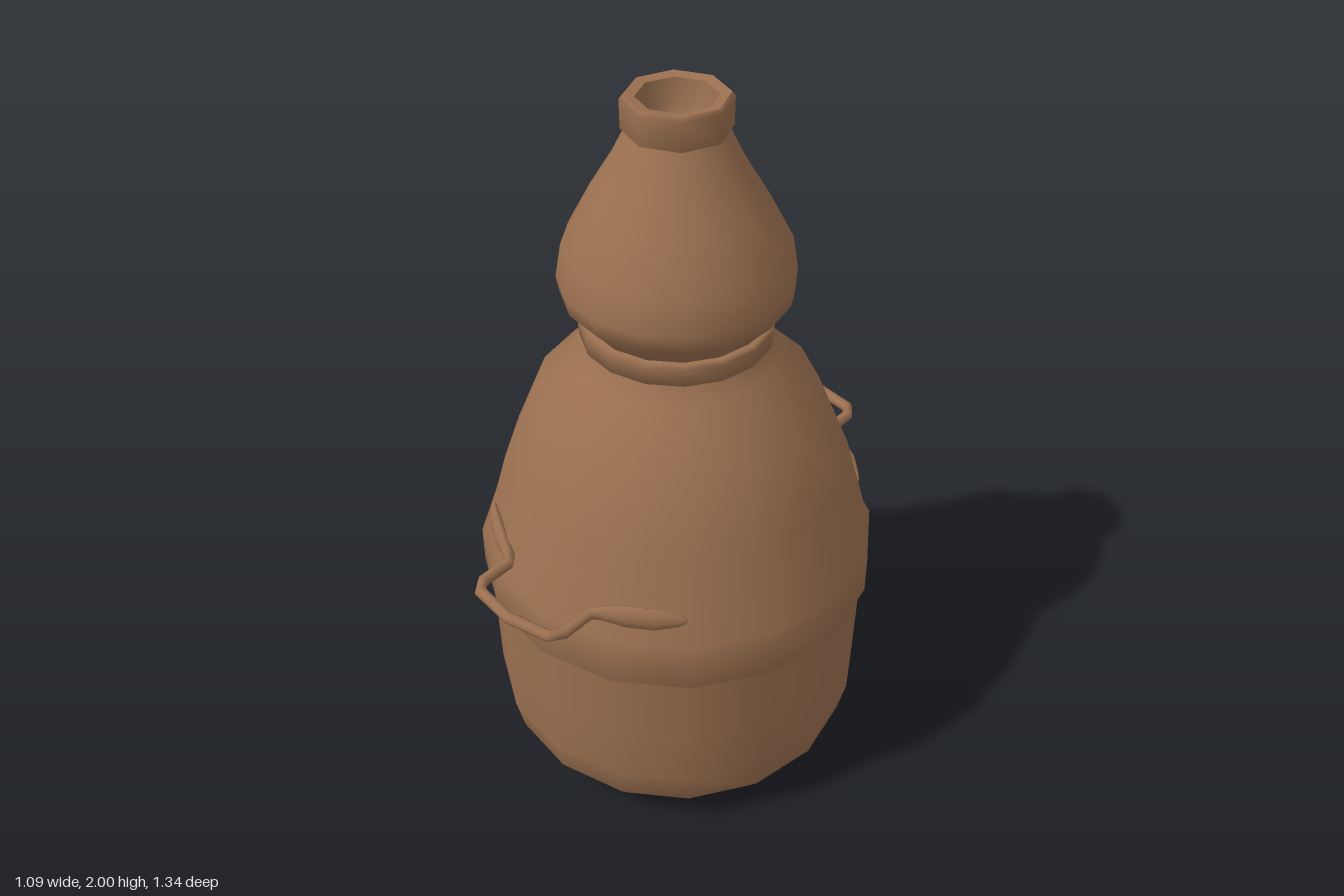
import * as THREE from 'three';

const clay = new THREE.MeshStandardMaterial({ color: 0x9b7050 });
clay.name = 'brown clay';

// Surface of revolution, profile listed as [radius, height]
function lathe(name, profile, sides) {
  const points = profile.map(([r, y]) => new THREE.Vector2(r, y));
  const mesh = new THREE.Mesh(new THREE.LatheGeometry(points, sides), clay);
  mesh.name = name;
  return mesh;
}

// Sweep of elliptical sections [x, z, half height, half width] along a level path
function sweep(sections, sides = 8) {
  const position = [], index = [];
  sections.forEach(([x, z, h, w], i) => {
    const a = sections[Math.max(i - 1, 0)];
    const b = sections[Math.min(i + 1, sections.length - 1)];
    const t = new THREE.Vector2(b[0] - a[0], b[1] - a[1]).normalize();
    for (let j = 0; j < sides; j++) {
      const angle = (j / sides) * Math.PI * 2;
      const c = Math.cos(angle) * w;
      position.push(x + t.y * c, Math.sin(angle) * h, z - t.x * c);
      if (i === sections.length - 1) continue;
      const k = i * sides + j, n = i * sides + ((j + 1) % sides);
      index.push(k, n, n + sides, k, n + sides, k + sides);
    }
  });
  const geometry = new THREE.BufferGeometry();
  geometry.setAttribute('position', new THREE.Float32BufferAttribute(position, 3));
  geometry.setIndex(index);
  geometry.computeVertexNormals();
  return geometry;
}

export function createModel() {
  const group = new THREE.Group();
  group.name = 'gourd pot';

  // Round-bottomed base
  group.add(lathe('base', [
    [0, 0], [0.33, 0], [0.45, 0.05], [0.497, 0.11], [0.52, 0.21], [0.525, 0.4], [0.53, 0.61],
  ], 16));

  // Belt and sloping shoulder
  group.add(lathe('shoulder', [
    [0.52, 0.6], [0.545, 0.6], [0.545, 0.705], [0.53, 0.725], [0.465, 0.96],
    [0.375, 1.18], [0.265, 1.29], [0.238, 1.35],
  ], 16));

  // Ring at the waist
  group.add(lathe('waistRing', [
    [0.22, 1.34], [0.25, 1.345], [0.255, 1.395], [0.245, 1.405], [0.2, 1.405],
  ], 16));

  // Upper bulb
  group.add(lathe('upperBulb', [
    [0.23, 1.4], [0.245, 1.42], [0.295, 1.475], [0.303, 1.52], [0.288, 1.61],
    [0.225, 1.73], [0.165, 1.83], [0.12, 1.92],
  ], 16));

  // Octagonal mouth with a hollow
  group.add(lathe('lip', [
    [0.115, 1.91], [0.135, 1.915], [0.136, 1.99], [0.128, 2],
  ], 8));
  group.add(lathe('rim', [[0.128, 2], [0.1, 1.995]], 8));
  group.add(lathe('mouthHollow', [[0.1, 1.995], [0.093, 1.94], [0.07, 1.88], [0, 1.85]], 8));

  // Bent rod handles with leaf-shaped ends, front and back
  const half = [
    [0.352, 0.366, 0.004, 0.003], [0.335, 0.378, 0.022, 0.01], [0.285, 0.417, 0.036, 0.018],
    [0.225, 0.455, 0.035, 0.018], [0.165, 0.487, 0.02, 0.016], [0.145, 0.51, 0.016, 0.016],
    [0.145, 0.6, 0.016, 0.016], [0.122, 0.632, 0.016, 0.016],
  ];
  const mirrored = half.map(([x, ...rest]) => [-x, ...rest]).reverse();
  const handleGeometry = sweep([...half, [0, 0.652, 0.016, 0.016], ...mirrored]);
  ['frontHandle', 'backHandle'].forEach((name, i) => {
    const handle = new THREE.Mesh(handleGeometry, clay);
    handle.name = name;
    handle.position.y = 0.805;
    handle.rotation.y = i * Math.PI;
    group.add(handle);
  });

  return group;
}
